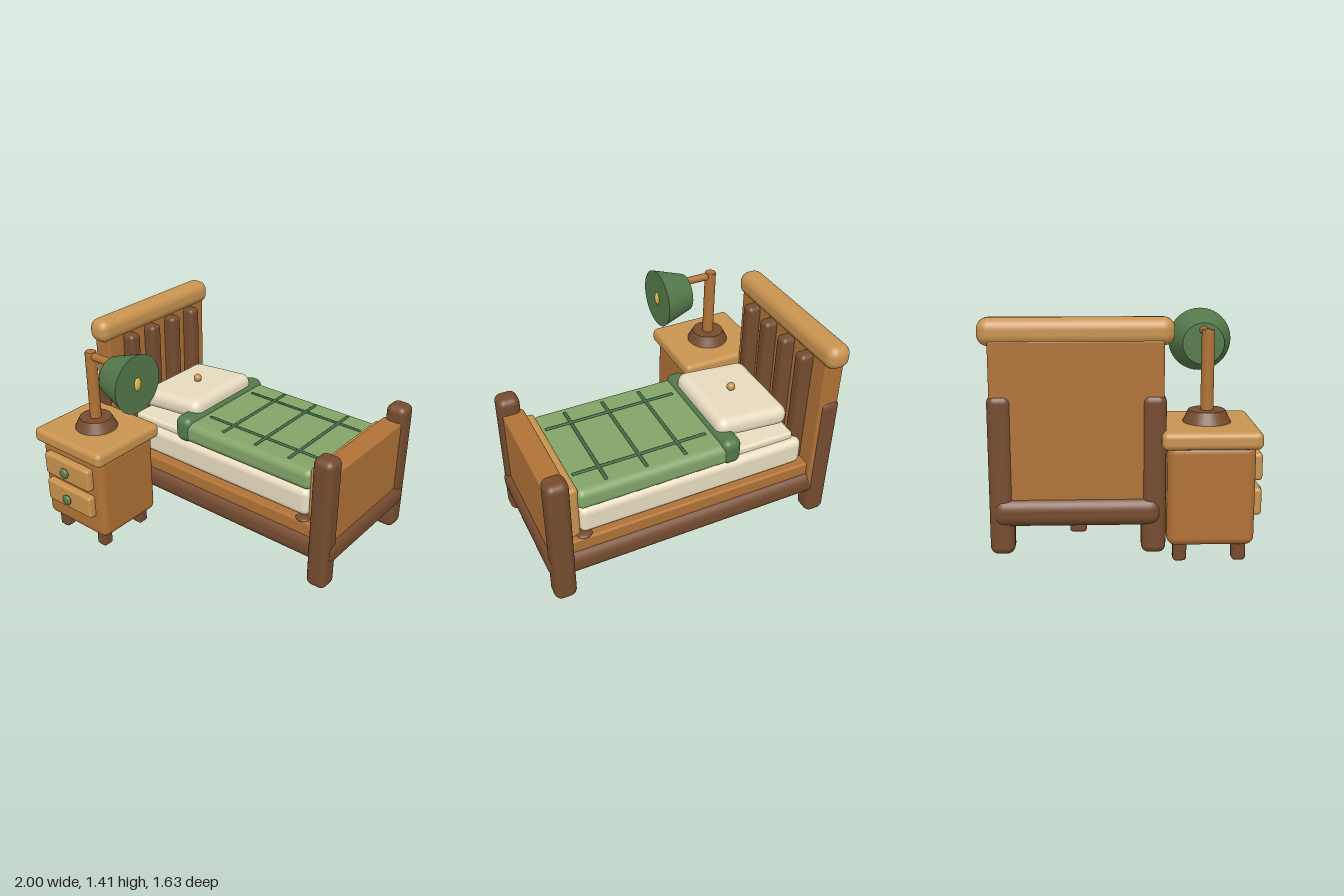
import * as THREE from 'three';
import { RoundedBoxGeometry } from 'three/addons/geometries/RoundedBoxGeometry.js';

const paint = (color) => new THREE.MeshStandardMaterial({ color });

export function createModel() {
  const model = new THREE.Group();
  const wood = paint(0xb07236), dark = paint(0x754b2f), light = paint(0xc8934f);
  const cream = paint(0xe8dcc0), green = paint(0x53794a), leaf = paint(0x82a468);
  const stitch = paint(0x3f6b45), gold = paint(0xe0b94f);

  const add = (parent, name, geometry, material, x = 0, y = 0, z = 0) => {
    const mesh = new THREE.Mesh(geometry, material);
    mesh.name = name;
    mesh.position.set(x, y, z);
    parent.add(mesh);
    return mesh;
  };
  // Rounded block given by its extents on each axis
  const block = (parent, name, material, [x0, x1], [y0, y1], [z0, z1], r = 0.02) =>
    add(parent, name, new RoundedBoxGeometry(x1 - x0, y1 - y0, z1 - z0, 4, r), material,
      (x0 + x1) / 2, (y0 + y1) / 2, (z0 + z1) / 2);
  const ball = (parent, name, material, x, y, z, rx, ry = rx, rz = rx) => {
    const mesh = add(parent, name, new THREE.SphereGeometry(1, 24, 16), material, x, y, z);
    mesh.scale.set(rx, ry, rz);
    return mesh;
  };
  const group = (name) => {
    const g = new THREE.Group();
    g.name = name;
    model.add(g);
    return g;
  };
  const midZ = -0.27; // centre line of the bed

  // Bed frame
  const frame = group('bedFrame');
  block(frame, 'baseRail', dark, [-0.97, 0.995], [0.225, 0.395], [-0.755, 0.21], 0.07);
  block(frame, 'mattressTray', wood, [-0.88, 0.85], [0.36, 0.475], [-0.715, 0.175], 0.015);
  block(frame, 'centreBeam', dark, [-0.83, 0.83], [0.15, 0.26], [-0.318, -0.222], 0.02);
  for (let i = 0; i < 5; i++) {
    const x = -0.575 + i * 0.294;
    block(frame, 'bedSlat', light, [x - 0.037, x + 0.037], [0.203, 0.25], [-0.63, 0.09], 0.01);
  }
  for (const side of [-1, 1]) {
    const z = midZ + side * 0.43;
    block(frame, 'headPost', dark, [-0.95, -0.812], [0.06, 0.985], [z - 0.07, z + 0.07], 0.045);
    block(frame, 'footPost', dark, [0.838, 0.98], [0.06, 0.985], [z - 0.07, z + 0.07], 0.045);
    ball(frame, 'trayPeg', dark, 0.745, 0.473, midZ + side * 0.405, 0.05, 0.015, 0.04);
  }

  // Headboard with upright slats and a thick top rail
  const headboard = group('headboard');
  block(headboard, 'headPanel', wood, [-0.935, -0.8], [0.3, 1.29], [-0.755, 0.215], 0.015);
  block(headboard, 'headTopRail', light, [-0.943, -0.785], [1.252, 1.41], [-0.815, 0.273], 0.065);
  for (let i = 0; i < 4; i++) {
    const z = -0.58 + i * 0.205;
    block(headboard, 'headSlat', dark, [-0.83, -0.72], [0.4, 1.275], [z - 0.046, z + 0.046], 0.03);
  }

  // Footboard
  const footboard = group('footboard');
  block(footboard, 'footPanel', wood, [0.82, 0.962], [0.3, 0.88], [-0.67, 0.13], 0.015);
  block(footboard, 'footInnerPanel', light, [0.762, 0.84], [0.4, 0.835], [-0.67, 0.115], 0.025);

  // Bedding
  const bedding = group('bedding');
  block(bedding, 'mattress', cream, [-0.77, 0.765], [0.47, 0.662], [-0.68, 0.13], 0.045);
  block(bedding, 'sheet', cream, [-0.72, 0.7], [0.62, 0.705], [-0.63, 0.08], 0.02);
  block(bedding, 'blanket', leaf, [-0.24, 0.778], [0.66, 0.805], [-0.685, 0.13], 0.05);
  block(bedding, 'blanketFold', green, [-0.308, -0.178], [0.658, 0.838], [-0.695, 0.14], 0.05);
  for (const x of [0.053, 0.312, 0.572])
    block(bedding, 'blanketCrossStripe', stitch, [x - 0.011, x + 0.011], [0.793, 0.813], [-0.63, 0.065], 0.006);
  for (const z of [-0.508, -0.05])
    block(bedding, 'blanketLongStripe', stitch, [-0.145, 0.74], [0.793, 0.813], [z - 0.011, z + 0.011], 0.006);
  const pillow = block(bedding, 'pillow', cream, [-0.705, -0.2], [0.758, 0.893], [-0.585, 0.03], 0.06);
  pillow.rotation.z = 0.09;
  ball(bedding, 'pillowButton', light, -0.45, 0.92, -0.277, 0.028);

  // Nightstand
  const stand = group('nightstand');
  block(stand, 'cabinet', wood, [-0.968, -0.415], [0.107, 0.7], [0.235, 0.735], 0.05);
  block(stand, 'tableTop', light, [-1, -0.385], [0.678, 0.78], [0.2, 0.768], 0.035);
  for (const y of [0.555, 0.348]) {
    block(stand, 'drawer', light, [-0.9, -0.487], [y - 0.08, y + 0.08], [0.7, 0.783], 0.02);
    ball(stand, 'drawerKnob', green, -0.692, y, 0.8, 0.036, 0.036, 0.02);
  }
  for (const x of [-0.878, -0.507])
    for (const z of [0.313, 0.655])
      block(stand, 'standLeg', dark, [x - 0.04, x + 0.04], [0, 0.15], [z - 0.04, z + 0.04], 0.02);

  // Lamp with a sideways shade
  const lamp = group('lamp');
  const lx = -0.693, lz = 0.482;
  add(lamp, 'lampBase', new THREE.CylinderGeometry(0.107, 0.144, 0.075, 32), dark, lx, 0.813, lz);
  add(lamp, 'lampStem', new THREE.CylinderGeometry(0.038, 0.038, 0.47, 24), wood, lx, 1.075, lz);
  const arm = add(lamp, 'lampArm', new THREE.CylinderGeometry(0.026, 0.026, 0.25, 20), wood, -0.59, 1.288, lz);
  arm.rotation.z = Math.PI / 2;
  const shade = add(lamp, 'lampShade', new THREE.CylinderGeometry(0.125, 0.194, 0.212, 40), green, -0.392, 1.208, lz);
  shade.rotation.z = Math.PI / 2;
  ball(lamp, 'lampBulb', gold, -0.295, 1.208, lz, 0.024, 0.048, 0.032);
  // Short neck that closes the stem above the arm
  add(lamp, 'stemCap', new THREE.CylinderGeometry(0.034, 0.038, 0.01, 24), wood, lx, 1.312, lz);

  return model;
}
